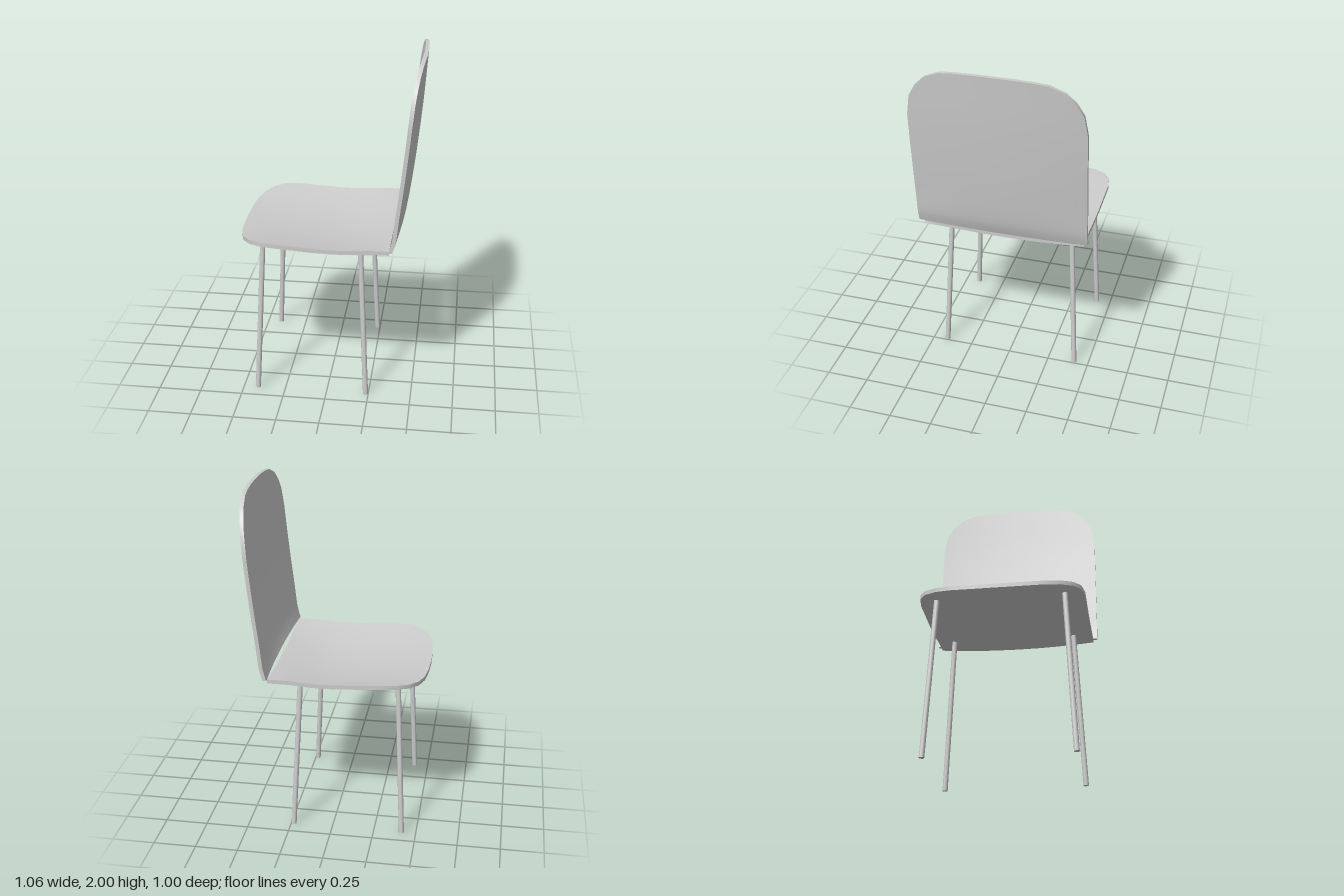
import * as THREE from 'three';
import { toCreasedNormals } from 'three/addons/utils/BufferGeometryUtils.js';

const material = new THREE.MeshStandardMaterial({ color: 0xcccccc });

// Smooth curve through [x, y] knots, evaluated at x
function smooth(knots, x) {
  const n = knots.length - 1;
  let i = 0;
  while (i < n - 1 && x > knots[i + 1][0]) i++;
  const slope = k => {
    const a = knots[Math.max(k - 1, 0)], b = knots[Math.min(k + 1, n)];
    return (b[1] - a[1]) / (b[0] - a[0]);
  };
  const [x0, y0] = knots[i], [x1, y1] = knots[i + 1], h = x1 - x0;
  const t = THREE.MathUtils.clamp((x - x0) / h, 0, 1), s = 1 - t;
  return y0 * s * s * (1 + 2 * t) + y1 * t * t * (3 - 2 * t)
    + h * t * s * (s * slope(i) - t * slope(i + 1));
}

// Closed curved panel: point(z, v) is its mid surface, offset is half its thickness
function panel(name, zs, rows, point, offset) {
  const pos = [], nu = zs.length - 1;
  const at = (i, j, side) => point(zs[i], j / rows).addScaledVector(offset, side);
  const quad = (a, b, c, d) => [a, b, c, a, c, d].forEach(p => pos.push(p.x, p.y, p.z));
  for (let i = 0; i < nu; i++) for (let j = 0; j < rows; j++) {
    quad(at(i, j, 1), at(i + 1, j, 1), at(i + 1, j + 1, 1), at(i, j + 1, 1));
    quad(at(i, j, -1), at(i, j + 1, -1), at(i + 1, j + 1, -1), at(i + 1, j, -1));
  }
  // rim all the way round
  const rim = [];
  for (let i = 0; i < nu; i++) rim.push([i, 0]);
  for (let j = 0; j < rows; j++) rim.push([nu, j]);
  for (let i = nu; i > 0; i--) rim.push([i, rows]);
  for (let j = rows; j > 0; j--) rim.push([0, j]);
  rim.forEach((p, k) => {
    const q = rim[(k + 1) % rim.length];
    quad(at(...p, -1), at(...q, -1), at(...q, 1), at(...p, 1));
  });
  const geo = new THREE.BufferGeometry();
  geo.setAttribute('position', new THREE.Float32BufferAttribute(pos, 3));
  const mesh = new THREE.Mesh(toCreasedNormals(geo, 0.7), material);
  mesh.name = name;
  return mesh;
}

// Mirrors a list of half-widths about zero
const mirror = half => [...half.slice(1).reverse().map(z => -z), ...half];

function outlineAt(outline, z) {
  return outline.find(p => Math.abs(p[0] - Math.abs(z)) < 1e-6)[1];
}

// Dished seat; its front edge points to -x
function makeSeat() {
  const front = [[0, -0.53], [0.12, -0.526], [0.19, -0.521], [0.26, -0.513], [0.35, -0.487],
    [0.42, -0.438], [0.46, -0.375], [0.475, -0.29]];
  const middle = [[-0.53, 0.934], [-0.4, 0.924], [-0.2, 0.908], [0, 0.898], [0.15, 0.903], [0.36, 0.938]];
  const dish = [[-0.53, 0.03], [-0.4, 0.046], [-0.2, 0.052], [0, 0.051], [0.2, 0.046], [0.36, 0.021]];
  return panel('seat', mirror(front.map(p => p[0])), 20, (z, v) => {
    const x = THREE.MathUtils.lerp(outlineAt(front, z), 0.36, v);
    return new THREE.Vector3(x, smooth(middle, x) + smooth(dish, x) * (z / 0.475) ** 2, z);
  }, new THREE.Vector3(0, 0.012, 0));
}

// Bowed backrest with rounded upper corners
function makeBackrest() {
  const top = [[0, 2], [0.12, 1.999], [0.22, 1.994], [0.3, 1.984], [0.385, 1.945],
    [0.44, 1.89], [0.48, 1.82], [0.5, 1.7]];
  const middle = [[0.97, 0.384], [1.03, 0.408], [1.1, 0.423], [1.2, 0.438], [1.4, 0.463], [1.7, 0.493], [2, 0.515]];
  const bow = [[0.97, 0.016], [1.05, 0.025], [1.2, 0.033], [1.7, 0.034], [2, 0.034]];
  return panel('backrest', mirror(top.map(p => p[0])), 24, (z, v) => {
    const y = THREE.MathUtils.lerp(0.972, outlineAt(top, z), v);
    return new THREE.Vector3(smooth(middle, y) - smooth(bow, y) * (z / 0.5) ** 2, y, z);
  }, new THREE.Vector3(-0.011, 0, 0));
}

// Straight splayed leg between two points
function makeLeg(name, foot, head) {
  const dir = head.clone().sub(foot);
  const geo = new THREE.CylinderGeometry(0.0155, 0.0155, dir.length(), 16);
  const leg = new THREE.Mesh(toCreasedNormals(geo, 0.7), material);
  leg.position.copy(foot).add(head).multiplyScalar(0.5);
  leg.quaternion.setFromUnitVectors(new THREE.Vector3(0, 1, 0), dir.normalize());
  leg.name = name;
  return leg;
}

export function createModel() {
  const chair = new THREE.Group();
  chair.name = 'chair';
  chair.add(makeSeat(), makeBackrest());
  for (const s of [-1, 1]) {
    chair.add(makeLeg('frontLeg', new THREE.Vector3(-0.415, 0.001, s * 0.412), new THREE.Vector3(-0.372, 0.945, s * 0.365)));
    chair.add(makeLeg('rearLeg', new THREE.Vector3(0.234, 0.001, s * 0.412), new THREE.Vector3(0.19, 0.928, s * 0.365)));
  }
  return chair;
}
